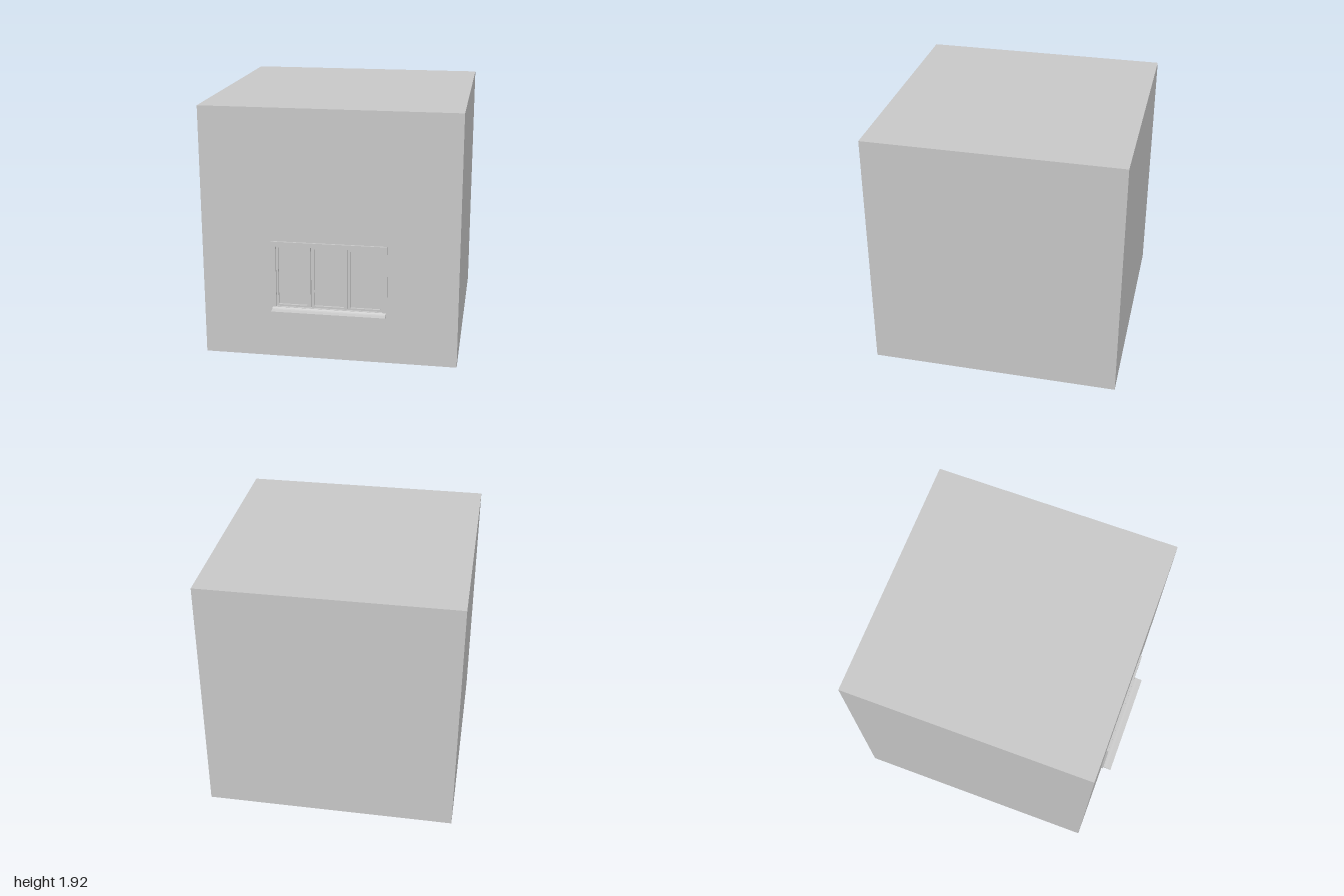
import * as THREE from 'three';

const material = new THREE.MeshStandardMaterial({ color: 0xcccccc, flatShading: true });

// Rectangle path, with optionally rounded corners
function rect(path, x0, y0, x1, y1, r = 0) {
  path.moveTo(x0 + r, y0);
  const corners = [[x1, y0, -r, 0, 0, r], [x1, y1, 0, -r, -r, 0], [x0, y1, r, 0, 0, -r], [x0, y0, 0, r, r, 0]];
  for (const [x, y, ax, ay, bx, by] of corners) {
    path.lineTo(x + ax, y + ay);
    if (r) path.quadraticCurveTo(x, y, x + bx, y + by);
  }
  return path;
}

function framedShape(outer, inner, radius = 0) {
  const shape = rect(new THREE.Shape(), ...outer);
  shape.holes.push(rect(new THREE.Path(), ...inner, radius));
  return shape;
}

function addMesh(parent, name, geometry) {
  const mesh = new THREE.Mesh(geometry, material);
  mesh.name = name;
  parent.add(mesh);
  return mesh;
}

// Extruded frame running from zBack to zFront
function addFrame(parent, name, outer, inner, zBack, zFront, radius) {
  const geometry = new THREE.ExtrudeGeometry(framedShape(outer, inner, radius),
    { depth: zFront - zBack, bevelEnabled: false, curveSegments: 3 });
  geometry.translate(0, 0, zBack);
  return addMesh(parent, name, geometry);
}

export function createModel() {
  const model = new THREE.Group();
  model.name = 'wallBlockWithWindow';
  const wallZ = 0.92;
  const opening = [-0.4, 0.408, 0.4, 0.885];

  // Block: box without its front, closed by a wall with a window opening
  const body = new THREE.BoxGeometry(1.92, 1.92, 1.92);
  const index = Array.from(body.index.array);
  index.splice(24, 6);
  body.setIndex(index);
  body.clearGroups();
  body.translate(0, 0.96, -0.04);
  addMesh(model, 'blockSides', body);
  const front = new THREE.ShapeGeometry(framedShape([-0.96, 0, 0.96, 1.92], opening));
  addMesh(model, 'frontWall', front.translate(0, 0, wallZ));

  const win = new THREE.Group();
  win.name = 'window';
  model.add(win);

  // Trim around the opening, and the reveal going into the wall
  addFrame(win, 'windowTrim', [-0.435, 0.37, 0.435, 0.92], opening, 0.885, 0.935);

  // Backing behind the sashes
  const backing = addMesh(win, 'windowBacking', new THREE.PlaneGeometry(0.8, 0.477));
  backing.position.set(0, 0.6465, 0.893);

  // Three sashes: [outer left, outer right, pane left, pane right]
  const sashes = [
    [-0.4, -0.14, -0.385, -0.162],
    [-0.134, 0.134, -0.113, 0.113],
    [0.14, 0.4, 0.162, 0.385],
  ];
  for (const [x0, x1, p0, p1] of sashes) {
    addFrame(win, 'sash', [x0, 0.408, x1, 0.885], [p0, 0.422, p1, 0.872], 0.893, 0.918, 0.008);
    const pane = addMesh(win, 'pane', new THREE.PlaneGeometry(p1 - p0, 0.45));
    pane.position.set((p0 + p1) / 2, 0.647, 0.9);
  }

  // Sill: thin sloped profile with an upturned back edge, run along x
  const profile = new THREE.Shape();
  [[0.92, 0.383], [0.992, 0.379], [1, 0.381], [1, 0.392], [0.96, 0.395],
    [0.946, 0.399], [0.936, 0.406], [0.92, 0.408]]
    .forEach(([z, y], i) => (i ? profile.lineTo(-z, y) : profile.moveTo(-z, y)));
  const sill = new THREE.ExtrudeGeometry(profile, { depth: 0.856, bevelEnabled: false });
  sill.rotateY(Math.PI / 2).translate(-0.428, 0, 0);
  addMesh(win, 'windowSill', sill);

  return model;
}
